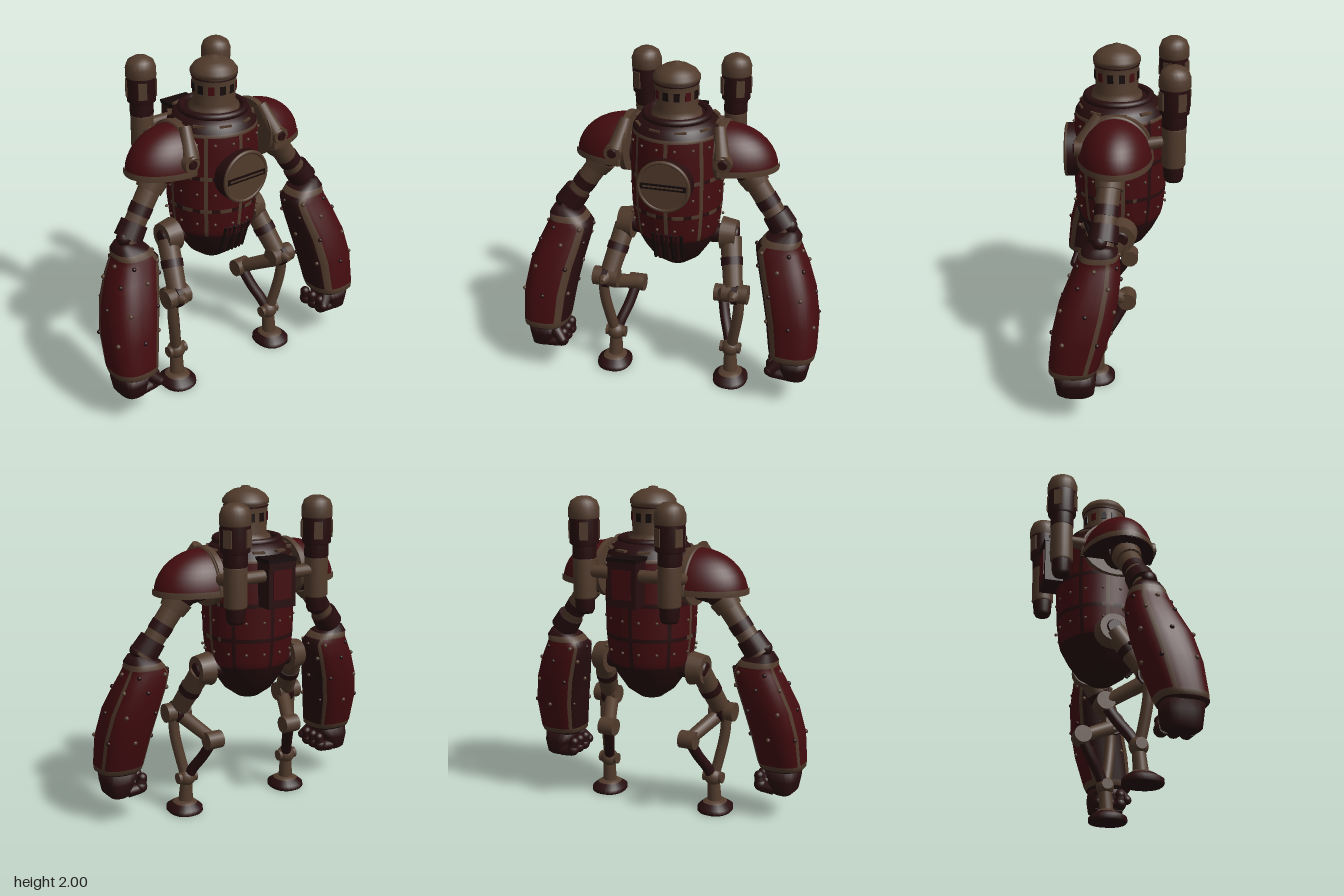
import * as THREE from 'three';

const mat = (name, color) => Object.assign(new THREE.MeshStandardMaterial({ color }), { name });
const V = (x, y, z) => new THREE.Vector3(x, y, z);

export function createModel() {
  const red = mat('dark red paint', 0x430c0f);
  const tan = mat('bare bronze', 0x513b2c);
  const dark = mat('worn maroon', 0x270d0e);
  const black = mat('soot', 0x160a0a);
  const mats = [red, tan, dark, black];
  const RED = 0, TAN = 1, DARK = 2, BLACK = 3;

  const model = new THREE.Group();
  model.name = 'robot';
  let target = model;

  function put(name, geo, material) {
    const m = new THREE.Mesh(geo, material);
    m.name = name;
    target.add(m);
    return m;
  }
  const ball = (name, p, r, m, sx = 1, sy = 1, sz = 1) =>
    put(name, new THREE.SphereGeometry(r, 18, 12).scale(sx, sy, sz).translate(...p), m);
  const box = (name, p, s, m) => put(name, new THREE.BoxGeometry(...s).translate(...p), m);
  // tapered rod from a to b
  function rod(name, a, b, ra, rb, m, sides = 16) {
    const A = V(...a), B = V(...b), d = B.clone().sub(A);
    const g = new THREE.CylinderGeometry(rb, ra, d.length(), sides);
    g.applyQuaternion(new THREE.Quaternion().setFromUnitVectors(V(0, 1, 0), d.normalize()));
    g.translate(...A.add(B).multiplyScalar(0.5).toArray());
    return put(name, g, m);
  }
  function lathe(name, pts, p, m, sides = 32) {
    const g = new THREE.LatheGeometry(pts.map(q => new THREE.Vector2(...q)), sides);
    return put(name, g.translate(...p), m);
  }
  // point on a section [y, cx, cz, rx, rz]; angle 0 is the front
  function onSection([y, cx, cz, rx, rz], a, p = 2) {
    const f = v => Math.sign(v) * Math.abs(v) ** (2 / p);
    return [cx + rx * f(Math.sin(a)), y, cz + rz * f(Math.cos(a))];
  }
  // skin through sections from bottom to top, colour chosen per cell
  function loft(name, secs, n, p, pick) {
    const pos = [], idx = mats.map(() => []);
    secs.forEach(s => {
      for (let j = 0; j < n; j++) pos.push(...onSection(s, ((j - 0.5) / n) * Math.PI * 2, p));
    });
    const lo = pos.length / 3, last = secs.length - 1;
    for (const s of [secs[0], secs[last]]) pos.push(s[1], s[0], s[2]);
    for (let j = 0; j < n; j++) {
      const k = (j + 1) % n;
      for (let i = 0; i < last; i++) {
        const a = i * n + j, b = i * n + k;
        idx[pick(i, j)].push(a, b, b + n, a, b + n, a + n);
      }
      idx[pick(0, j)].push(lo, k, j);
      idx[pick(last - 1, j)].push(lo + 1, last * n + j, last * n + k);
    }
    const g = new THREE.BufferGeometry();
    g.setAttribute('position', new THREE.Float32BufferAttribute(pos, 3));
    g.setIndex(idx.flat());
    let start = 0;
    idx.forEach((l, m) => { if (l.length) g.addGroup(start, l.length, m); start += l.length; });
    g.computeVertexNormals();
    return put(name, g, mats);
  }

  // Torso barrel: panels divided by bronze straps
  const profile = [[0.72, 0.02], [0.735, 0.07], [0.79, 0.145], [0.87, 0.2], [0.96, 0.245], [1.0, 0.255], [1.12, 0.268],
    [1.145, 0.27], [1.33, 0.274], [1.355, 0.274], [1.5, 0.27], [1.59, 0.264], [1.61, 0.26], [1.65, 0.235], [1.69, 0.19]];
  loft('torso', profile.map(([y, r]) => [y, 0, 0.01, r, r]), 72, 2, (i, j) => {
    const back = j > 22 && j < 50;
    if (i < 4) return DARK;
    if (i > 11) return DARK;
    if ([0, 9, 19, 53, 63].includes(j)) return TAN;
    if ([26, 36, 46].includes(j)) return DARK;
    if (i === 6 || i === 8) return back || j % 5 < 2 ? DARK : TAN;
    return i === 11 ? TAN : RED;
  });
  for (let k = 0; k < 7; k++) {
    const x = (k - 3) * 0.028;
    rod('lowerGrilleBar', [x, 0.83, 0.2 - x * x], [x, 1.02, 0.268 - x * x * 2], 0.011, 0.011, k % 2 ? dark : black, 8);
  }
  for (const y of [1.05, 1.24, 1.55])
    for (let k = 0; k < 16; k++) {
      const a = (k + 0.5) * Math.PI / 8;
      ball('torsoRivet', [0.271 * Math.sin(a), y, 0.01 + 0.271 * Math.cos(a)], 0.009, tan);
    }
  // Collar
  put('collarRing', new THREE.TorusGeometry(0.185, 0.022, 10, 40).rotateX(Math.PI / 2).translate(0, 1.69, 0.02), dark);
  for (let k = 0; k < 10; k++) {
    const g = new THREE.BoxGeometry(0.07, 0.012, 0.03).translate(0, 1.648, 0.235).rotateY((k + 0.5) * Math.PI / 5);
    put('collarPlate', g, tan);
  }

  // Round hatch on the chest
  const disc = (name, r, z0, z1, m) => rod(name, [0, 1.35, z0], [0, 1.35, z1], r, r, m, 40);
  disc('hatchDrum', 0.158, 0.2, 0.325, dark);
  disc('hatchFace', 0.138, 0.3, 0.33, tan);
  put('hatchRim', new THREE.TorusGeometry(0.148, 0.012, 8, 40).translate(0, 1.35, 0.322), tan);
  box('hatchSlit', [0, 1.35, 0.331], [0.27, 0.034, 0.008], black);
  box('hatchBar', [0, 1.35, 0.333], [0.24, 0.01, 0.008], tan);

  // Head: drum with a dome and a ring of windows
  lathe('head', [[0.15, 1.67], [0.145, 1.71], [0.122, 1.73], [0.128, 1.87], [0.128, 1.9], [0.137, 1.9], [0.137, 1.92],
    [0.115, 1.95], [0.075, 1.975], [0.03, 1.985], [0.026, 1.995], [0, 2]], [0, 0, 0.03], tan, 36);
  for (let k = 0; k < 12; k++) {
    const a = (k + 0.5) * Math.PI / 6;
    put('headWindow', new THREE.BoxGeometry(0.034, 0.05, 0.008).translate(0, 1.825, 0.125).rotateY(a).translate(0, 0, 0.03), k % 3 === 1 ? red : black);
  }
  put('headBand', new THREE.TorusGeometry(0.127, 0.006, 6, 36).rotateX(Math.PI / 2).translate(0, 1.885, 0.03), dark);

  // Back box
  box('backBox', [0, 1.48, -0.28], [0.18, 0.27, 0.16], dark);
  box('backBoxLid', [0, 1.62, -0.28], [0.19, 0.02, 0.17], black);
  box('backBoxPanel', [0, 1.48, -0.362], [0.12, 0.17, 0.006], red);

  // Everything below is made on the left side, then mirrored
  const left = new THREE.Group();
  left.name = 'leftSide';
  target = left;

  // Exhaust stack
  const ex = [0.275, 0, -0.3];
  lathe('stackFoot', [[0, 1.28], [0.045, 1.28], [0.055, 1.3], [0.06, 1.38]], ex, dark, 20);
  lathe('stackPipe', [[0.06, 1.37], [0.068, 1.38], [0.068, 1.6], [0.06, 1.61]], ex, tan, 20);
  lathe('stackNeck', [[0.06, 1.6], [0.07, 1.61], [0.07, 1.7]], ex, dark, 20);
  lathe('stackDrum', [[0.07, 1.68], [0.084, 1.69], [0.086, 1.84], [0.08, 1.845]], ex, dark, 24);
  lathe('stackCap', [[0.08, 1.835], [0.09, 1.84], [0.09, 1.895], [0.075, 1.935], [0.04, 1.957], [0, 1.962]], ex, tan, 24);
  for (let k = 0; k < 4; k++)
    put('stackPatch', new THREE.BoxGeometry(0.05, 0.1, 0.008).translate(0, 1.77, 0.086).rotateY(k * Math.PI / 2 + 0.5).translate(...ex), tan);
  rod('stackLink', [0.08, 1.53, -0.3], [0.22, 1.53, -0.3], 0.036, 0.036, tan);
  rod('stackStay', [0.275, 1.52, -0.26], [0.285, 1.5, -0.13], 0.03, 0.04, tan);

  // Shoulder: backing plate, half dome, rim
  put('shoulderPlate', new THREE.CylinderGeometry(1, 1, 0.035, 32).rotateZ(Math.PI / 2).scale(1, 0.175, 0.205).translate(0.28, 1.495, 0.03), tan);
  const dome = (t0, t1, k) => new THREE.SphereGeometry(k, 24, 10, Math.PI / 2, Math.PI, t0, t1)
    .scale(0.31, 0.25, 0.21).translate(0.29, 1.41, 0.03);
  put('shoulderPad', dome(0, Math.PI / 2, 1), red);
  put('shoulderRim', dome(Math.PI * 0.455, Math.PI * 0.045, 1.025), tan);
  put('shoulderBase', new THREE.CircleGeometry(1, 32, -Math.PI / 2, Math.PI).rotateX(Math.PI / 2).scale(0.315, 1, 0.215).translate(0.29, 1.412, 0.03), dark);
  put('shoulderEdge', new THREE.TorusGeometry(1, 0.07, 8, 32, Math.PI).rotateY(Math.PI / 2).scale(0.2, 0.245, 0.205).translate(0.295, 1.41, 0.03), tan);
  rod('shoulderStrap', [0.275, 1.66, 0.12], [0.315, 1.5, 0.22], 0.035, 0.05, tan);
  rod('shoulderBolt', [0.325, 1.49, 0.17], [0.325, 1.49, 0.255], 0.055, 0.05, tan, 20);
  rod('shoulderBoltCap', [0.325, 1.49, 0.25], [0.325, 1.49, 0.265], 0.03, 0.025, dark);
  rod('shoulderAxle', [0.2, 1.45, 0.03], [0.42, 1.42, 0.04], 0.08, 0.09, dark);

  // Upper arm
  ball('shoulderJoint', [0.43, 1.4, 0.05], 0.09, dark);
  rod('upperArm', [0.44, 1.38, 0.05], [0.67, 1.05, 0.085], 0.068, 0.062, tan);
  rod('upperArmCollar', [0.445, 1.37, 0.05], [0.49, 1.31, 0.055], 0.088, 0.078, tan);
  rod('upperArmPatch', [0.54, 1.237, 0.065], [0.575, 1.187, 0.07], 0.069, 0.068, dark);
  rod('elbowCollar', [0.605, 1.15, 0.075], [0.66, 1.07, 0.085], 0.08, 0.085, dark);
  ball('elbowKnob', [0.695, 1.09, 0.1], 0.045, dark);
  ball('elbowStud', [0.69, 1.12, 0.06], 0.024, tan);

  // Forearm shell
  const arm = [[0.315, 0.77, 0.255, 0.115, 0.12], [0.33, 0.772, 0.255, 0.135, 0.137], [0.365, 0.77, 0.245, 0.142, 0.145],
    [0.55, 0.755, 0.205, 0.155, 0.165], [0.72, 0.72, 0.165, 0.158, 0.165], [0.86, 0.675, 0.128, 0.15, 0.142],
    [0.95, 0.645, 0.112, 0.138, 0.122], [0.985, 0.65, 0.108, 0.118, 0.113], [1.02, 0.665, 0.102, 0.105, 0.102], [1.06, 0.695, 0.1, 0.05, 0.07]];
  loft('forearm', arm, 32, 2.6, (i, j) => {
    if (i === 1 || i === 7) return TAN;
    if (i === 0 || i === 8) return DARK;
    if ([28, 29, 20, 10].includes(j)) return TAN;
    return j > 20 && j < 28 ? DARK : RED;
  });
  arm.slice(3, 7).forEach((s, i) => {
    for (let k = 0; k < 6; k++)
      ball('forearmRivet', onSection(s, k * Math.PI / 3 + i * 0.5, 2.6), 0.013, (k + i) % 2 ? tan : dark);
  });

  // Fist
  loft('palm', [[0.165, 0.795, 0.24, 0.05, 0.08], [0.185, 0.79, 0.24, 0.075, 0.108], [0.26, 0.79, 0.24, 0.09, 0.118],
    [0.33, 0.775, 0.25, 0.11, 0.12]], 20, 3, () => DARK);
  for (let k = 0; k < 3; k++) {
    const z = 0.165 + k * 0.07;
    rod('fingerUpper', [0.75, 0.2, z], [0.67, 0.205, z], 0.036, 0.034, dark, 10);
    ball('knuckle', [0.665, 0.215, z], 0.04, dark);
    rod('fingerTip', [0.665, 0.215, z], [0.655, 0.27, z], 0.036, 0.03, dark, 10);
    ball('fingerEnd', [0.655, 0.27, z], 0.031, dark);
  }
  rod('thumb', [0.71, 0.3, 0.31], [0.65, 0.24, 0.345], 0.04, 0.03, dark, 10);
  ball('thumbTip', [0.65, 0.24, 0.345], 0.03, dark);

  // Hip and thigh
  rod('hipAxle', [0.17, 0.93, 0.0], [0.3, 0.94, 0.0], 0.06, 0.055, dark);
  rod('hipHousing', [0.275, 0.94, 0], [0.365, 0.94, 0], 0.1, 0.085, tan, 20);
  rod('hipCap', [0.36, 0.94, 0], [0.375, 0.94, 0], 0.05, 0.04, dark);
  rod('thigh', [0.33, 0.92, 0.01], [0.385, 0.67, 0.17], 0.065, 0.058, tan);
  rod('thighBand', [0.352, 0.82, 0.075], [0.361, 0.78, 0.1], 0.067, 0.066, dark);

  // Knee and rear linkage
  rod('kneeAxle', [0.325, 0.64, 0.185], [0.48, 0.64, 0.185], 0.058, 0.058, tan, 20);
  rod('kneeAxleBand', [0.385, 0.64, 0.185], [0.42, 0.64, 0.185], 0.068, 0.068, dark, 20);
  rod('kneePoint', [0.4, 0.645, 0.19], [0.4, 0.65, 0.28], 0.06, 0.015, tan);
  rod('upperLink', [0.37, 0.61, 0.17], [0.275, 0.5, -0.04], 0.045, 0.04, tan);
  rod('rearJoint', [0.225, 0.5, -0.04], [0.325, 0.5, -0.04], 0.054, 0.054, tan, 20);
  const bent = (name, pts, r, m) =>
    put(name, new THREE.TubeGeometry(new THREE.CatmullRomCurve3(pts.map(p => V(...p))), 16, r, 10), m);
  bent('rearShin', [[0.28, 0.49, -0.035], [0.31, 0.38, 0.03], [0.345, 0.29, 0.09], [0.365, 0.22, 0.125]], 0.033, dark);
  bent('frontShin', [[0.425, 0.62, 0.18], [0.42, 0.5, 0.175], [0.395, 0.35, 0.155], [0.37, 0.22, 0.13]], 0.033, tan);

  // Ankle and foot
  ball('ankle', [0.368, 0.225, 0.13], 0.056, tan);
  rod('ankleBolt', [0.305, 0.225, 0.13], [0.43, 0.225, 0.13], 0.034, 0.034, tan);
  rod('lowerShin', [0.368, 0.2, 0.13], [0.372, 0.06, 0.14], 0.038, 0.045, tan);
  loft('foot', [[0, 0.375, 0.148, 0.1, 0.112], [0.008, 0.375, 0.148, 0.106, 0.118], [0.032, 0.375, 0.148, 0.105, 0.116],
    [0.06, 0.374, 0.145, 0.072, 0.078], [0.075, 0.373, 0.142, 0.05, 0.055]], 24, 2.3, i => (i < 2 ? DARK : i === 2 ? DARK : TAN));

  // Mirror to the right side, flipping the corner order
  const right = new THREE.Group();
  right.name = 'rightSide';
  for (const m of left.children) {
    const g = m.geometry.clone().scale(-1, 1, 1), ix = g.index.array;
    for (let i = 0; i < ix.length; i += 3) [ix[i], ix[i + 1]] = [ix[i + 1], ix[i]];
    const r = new THREE.Mesh(g, m.material);
    r.name = m.name;
    right.add(r);
  }
  model.add(left, right);
  return model;
}
